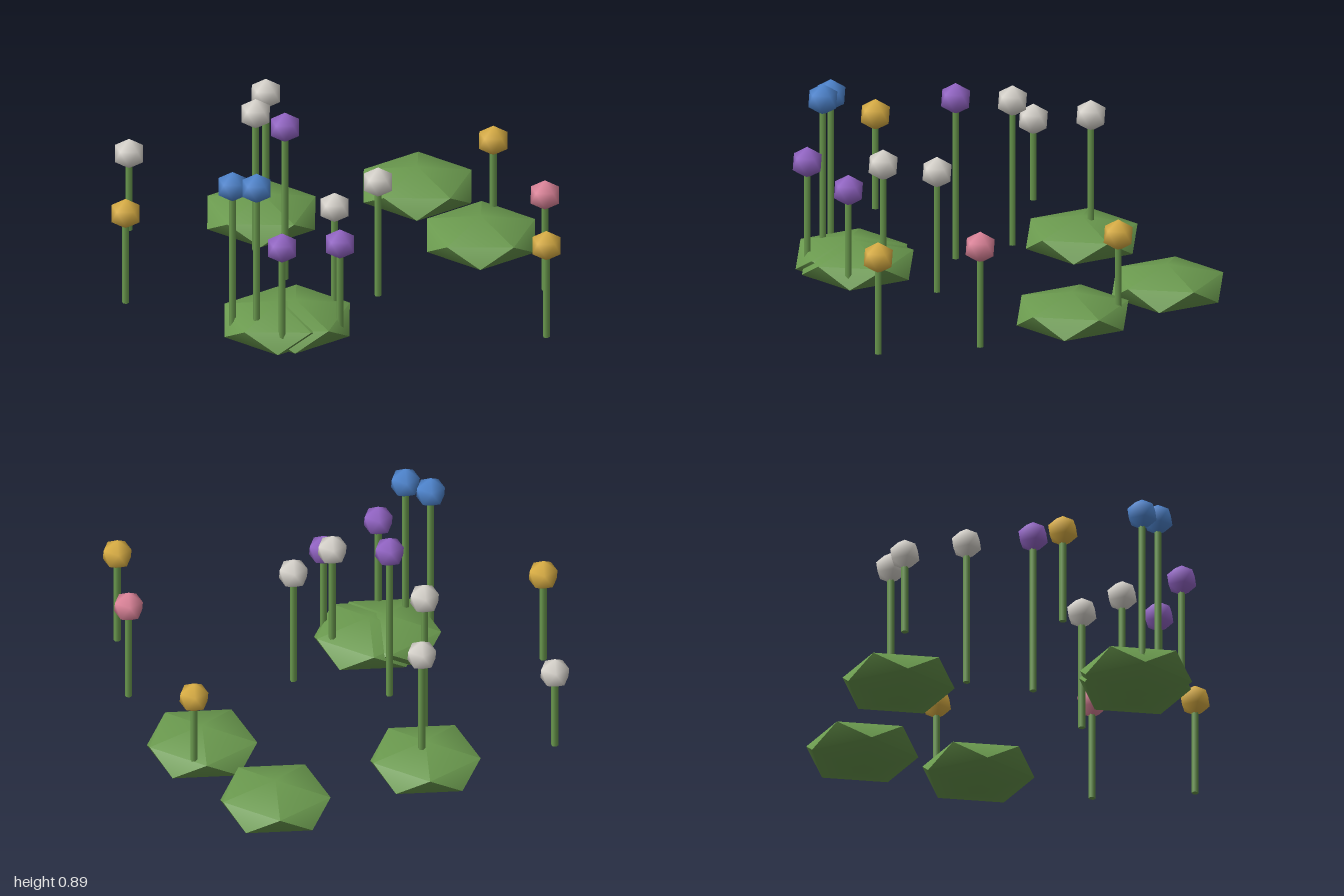
import * as THREE from 'three';
import { toCreasedNormals } from 'three/addons/utils/BufferGeometryUtils.js';

function material(name, color) {
  const m = new THREE.MeshStandardMaterial({ color });
  m.name = name;
  return m;
}

// Twenty-sided ball standing on one corner, with an upper corner towards +x
function cornerBall(radius) {
  const g = new THREE.IcosahedronGeometry(radius, 0);
  g.rotateZ(-Math.atan(2 / (1 + Math.sqrt(5))));
  return g;
}

export function createModel() {
  const group = new THREE.Group();
  const green = material('leaf green', 0x6a994e);
  const petals = {
    gold: material('petal gold', 0xdcb045),
    white: material('petal white', 0xdad6cf),
    blue: material('petal blue', 0x4f86d0),
    purple: material('petal purple', 0x9566c8),
    pink: material('petal pink', 0xe0869c),
  };

  // Flattened grass clumps: smooth above and below, sharp along the zigzag rim
  const flat = cornerBall(0.28);
  flat.scale(1, 0.35, 1);
  const clumpGeo = toCreasedNormals(flat, 1.0);
  const clumps = [[-0.115, -0.63], [0.62, -0.67], [0.745, -0.13], [-0.355, 0.393], [-0.278, 0.402]];
  for (const [x, z] of clumps) {
    const clump = new THREE.Mesh(clumpGeo, green);
    clump.name = 'grassClump';
    clump.position.set(x, 0.098, z);
    group.add(clump);
  }

  // Flower head with smooth normals
  const headGeo = cornerBall(0.073);
  const p = headGeo.attributes.position;
  const n = new THREE.Vector3();
  for (let i = 0; i < p.count; i++) {
    n.fromBufferAttribute(p, i).normalize();
    headGeo.attributes.normal.setXYZ(i, n.x, n.y, n.z);
  }

  // Flowers: x, z, height of the head, petal colour
  const base = 0.07;
  const flowers = [
    [-0.93, -0.03, 0.51, 'gold'],
    [-0.705, -0.70, 0.447, 'white'],
    [-0.565, 0.385, 0.79, 'blue'],
    [-0.48, 0.47, 0.81, 'blue'],
    [-0.40, 0.59, 0.56, 'purple'],
    [-0.23, -0.345, 0.745, 'white'],
    [-0.19, -0.04, 0.82, 'purple'],
    [-0.085, -0.66, 0.67, 'white'],
    [-0.09, 0.375, 0.61, 'white'],
    [-0.115, 0.535, 0.51, 'purple'],
    [0.155, 0.235, 0.63, 'white'],
    [0.745, 0.84, 0.52, 'gold'],
    [0.855, -0.30, 0.47, 'gold'],
    [0.875, 0.40, 0.537, 'pink'],
  ];
  for (const [x, z, y, colour] of flowers) {
    const flower = new THREE.Group();
    flower.name = colour + 'Flower';
    flower.position.set(x, 0, z);

    const stem = new THREE.Mesh(new THREE.CylinderGeometry(0.016, 0.016, y - base, 6), green);
    stem.name = 'stem';
    stem.position.y = (y + base) / 2;

    const head = new THREE.Mesh(headGeo, petals[colour]);
    head.name = 'flowerHead';
    head.position.y = y;

    flower.add(stem, head);
    group.add(flower);
  }
  return group;
}
